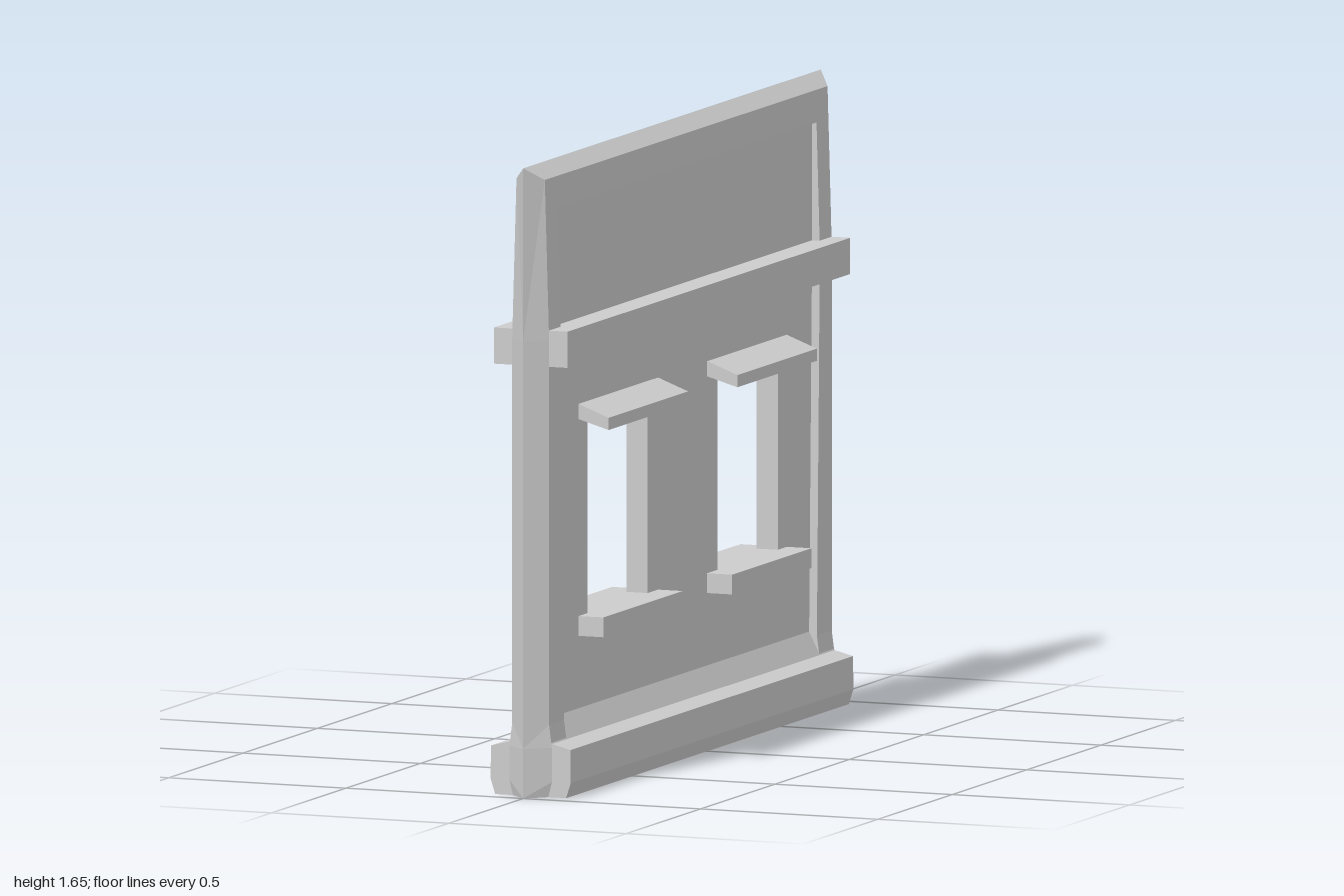
import * as THREE from 'three';

const material = new THREE.MeshStandardMaterial({ color: 0xcccccc, flatShading: true, side: THREE.DoubleSide });
const PANEL = 0.03; // half thickness of the recessed wall

// Height levels of the border and its half thickness at each
const LEVELS = [0, 0.04, 0.13, 0.19, 1.2, 1.62];
const HALF = [0.05, 0.06, 0.06, 0.052, 0.052, 0.04];

function add(group, name, geometry) {
  const mesh = new THREE.Mesh(geometry, material);
  mesh.name = name;
  group.add(mesh);
  return mesh;
}

function polygon(points) {
  return new THREE.Shape(points.map(([x, y]) => new THREE.Vector2(x, y)));
}

// Mirrored xy outline swept along z
function sweep(halfOutline, z0, z1) {
  const mirrored = halfOutline.map(([x, y]) => [-x, y]).reverse();
  const geometry = new THREE.ExtrudeGeometry(polygon([...halfOutline, ...mirrored]), { depth: z1 - z0, bevelEnabled: false });
  return geometry.translate(0, 0, z0);
}

function box(w, y0, y1, z0, z1) {
  return new THREE.BoxGeometry(w, y1 - y0, z1 - z0).translate(0, (y0 + y1) / 2, (z0 + z1) / 2);
}

// One arch-shaped ring: up the +z edge, across the top, down the -z edge
function ring(side, top, zAt, xAt) {
  const up = LEVELS.map((level, i) => {
    const y = i === LEVELS.length - 1 ? top : level;
    return new THREE.Vector3(side * xAt(i), y, zAt(i));
  });
  const down = up.map((p) => new THREE.Vector3(p.x, p.y, -p.z)).reverse();
  return [...up, ...down];
}

// Border with a pointed rim, flat face and step down to the panel
function borderGeometry(side) {
  const innerZ = (i) => (i < 4 ? 0.85 : 0.87);
  const rings = [
    ring(side, 1.655, () => 1, () => 0),
    ring(side, 1.62, () => 0.95, (i) => HALF[i]),
    ring(side, 1.535, innerZ, (i) => (i === 5 ? 0.0425 : HALF[i])),
    ring(side, 1.535, innerZ, () => PANEL - 0.002),
  ];
  const positions = [];
  const tri = (a, b, c) => (side > 0 ? [a, b, c] : [a, c, b]).forEach((p) => positions.push(p.x, p.y, p.z));
  for (let r = 0; r < rings.length - 1; r++) {
    for (let i = 0; i < rings[r].length - 1; i++) {
      const a = rings[r][i], b = rings[r][i + 1], c = rings[r + 1][i + 1], d = rings[r + 1][i];
      tri(a, b, c);
      tri(a, c, d);
    }
  }
  const geometry = new THREE.BufferGeometry();
  geometry.setAttribute('position', new THREE.Float32BufferAttribute(positions, 3));
  geometry.computeVertexNormals();
  return geometry;
}

// Recessed wall with two window openings
function panelGeometry() {
  const shape = polygon([[-0.9, 0.05], [0.9, 0.05], [0.9, 1.56], [-0.9, 1.56]]);
  for (const s of [1, -1]) {
    const z0 = Math.min(s * 0.235, s * 0.64), z1 = z0 + 0.405;
    shape.holes.push(polygon([[z0, 0.42], [z0, 0.97], [z1, 0.97], [z1, 0.42]]));
  }
  const geometry = new THREE.ExtrudeGeometry(shape, { depth: 2 * PANEL, bevelEnabled: false });
  return geometry.translate(0, 0, -PANEL).rotateY(-Math.PI / 2);
}

export function createModel() {
  const model = new THREE.Group();
  model.name = 'wallSection';

  add(model, 'wallPanel', panelGeometry());
  add(model, 'leftBorder', borderGeometry(1));
  add(model, 'rightBorder', borderGeometry(-1));

  // Underside closing the pointed ends
  const foot = polygon([[0, 1], [0.05, 0.95], [0.05, -0.95], [0, -1], [-0.05, -0.95], [-0.05, 0.95]]);
  add(model, 'underside', new THREE.ShapeGeometry(foot).rotateX(Math.PI / 2));

  // Base skirting with a sloped upper edge
  const skirting = [[0.1, 0], [0.113, 0.04], [0.112, 0.127], [0.06, 0.14], [PANEL, 0.2]];
  add(model, 'skirting', sweep(skirting, -0.95, 0.95));

  // Horizontal beam
  add(model, 'beam', box(0.208, 1.13, 1.225, -0.95, 0.95));

  // Window ledges, with hoods sloping outward
  const hood = [[0.02, 0.962], [0.115, 0.935], [0.115, 0.967], [0.03, 0.999]];
  for (const s of [1, -1]) {
    const z0 = s > 0 ? 0.165 : -0.7, z1 = z0 + 0.535;
    const frame = new THREE.Group();
    frame.name = s > 0 ? 'frontWindow' : 'backWindow';
    add(frame, 'sill', box(0.2, 0.39, 0.442, z0, z1));
    add(frame, 'hood', sweep(hood, z0, z1));
    model.add(frame);
  }
  return model;
}
